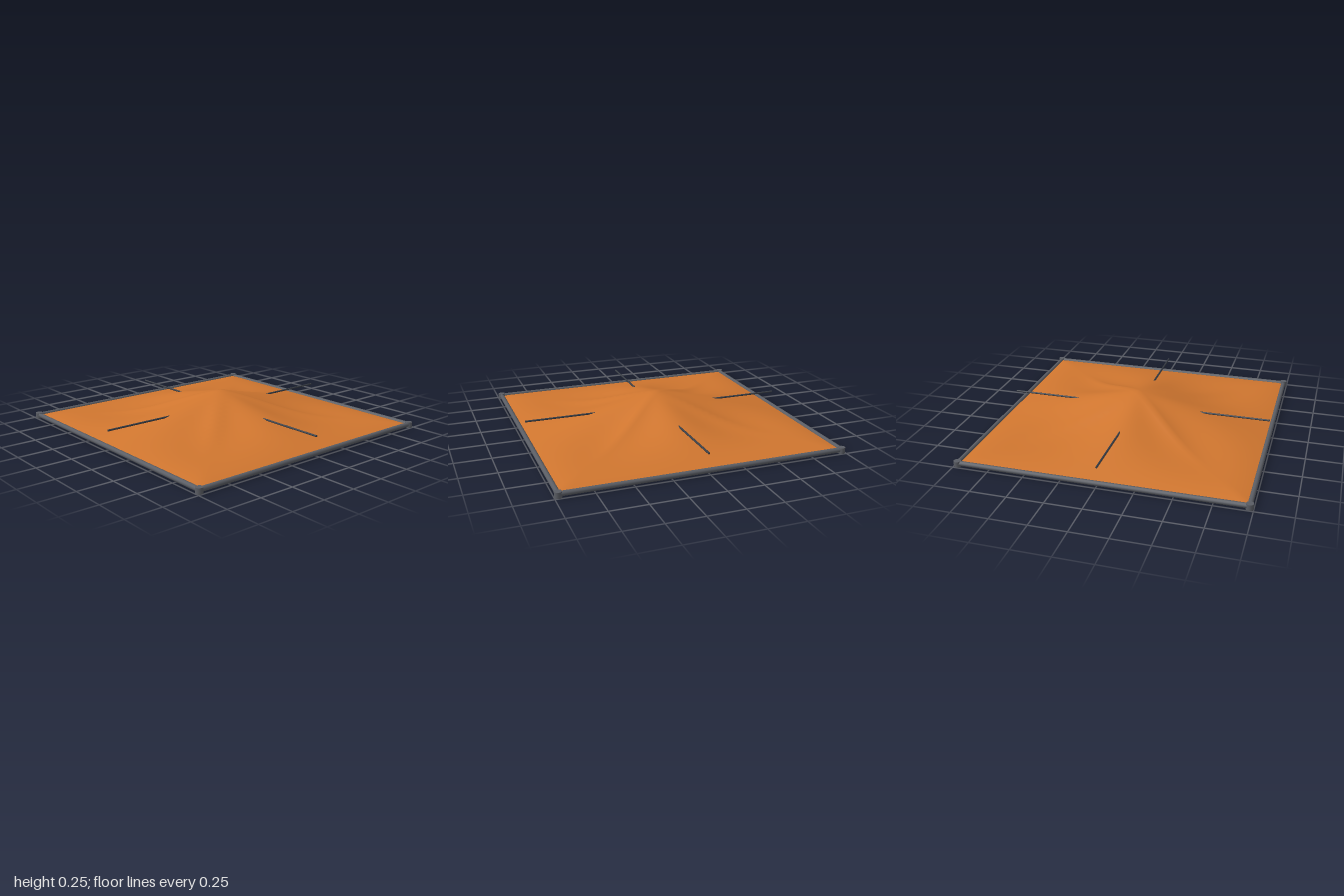
import * as THREE from 'three';

const RIM = 0.975;   // half distance between frame bars
const BASE = 0.022;  // frame centre height

// Height of the stretched canopy: straight pyramid slopes that sag along the diagonals
function canopyHeight(x, z) {
  const r = Math.max(Math.abs(x), Math.abs(z)) / RIM;
  if (r === 0) return 0.25;
  const sin2 = (2 * x * z) / (x * x + z * z);
  const sag = 0.063 * Math.sin(Math.PI * r) ** 2 * sin2 * sin2;
  return BASE + (0.25 - BASE) * (1 - r) - sag;
}

export function createModel() {
  const group = new THREE.Group();
  const canvas = new THREE.MeshStandardMaterial({ color: 0xd0762f, side: THREE.DoubleSide });
  canvas.name = 'orangeCanvas';
  const metal = new THREE.MeshStandardMaterial({ color: 0x5a5d64 });
  metal.name = 'greyMetal';
  const darkMetal = new THREE.MeshStandardMaterial({ color: 0x3a3f47 });
  darkMetal.name = 'darkMetal';

  const add = (name, geometry, material, x, y, z) => {
    const mesh = new THREE.Mesh(geometry, material);
    mesh.name = name;
    mesh.position.set(x, y, z);
    group.add(mesh);
    return mesh;
  };

  // Canopy sheet
  const sheet = new THREE.PlaneGeometry(2 * RIM, 2 * RIM, 48, 48).rotateX(-Math.PI / 2);
  const pos = sheet.attributes.position;
  for (let i = 0; i < pos.count; i++) {
    pos.setY(i, canopyHeight(pos.getX(i), pos.getZ(i)));
  }
  sheet.computeVertexNormals();
  add('canopy', sheet, canvas, 0, 0, 0);

  // Frame bars along the four edges
  const barX = new THREE.CylinderGeometry(0.017, 0.017, 2 * RIM, 12).rotateZ(Math.PI / 2);
  const barZ = barX.clone().rotateY(Math.PI / 2);
  for (const s of [-1, 1]) {
    add(s > 0 ? 'frontFrameBar' : 'backFrameBar', barX, metal, 0, BASE, s * RIM);
    add(s > 0 ? 'leftFrameBar' : 'rightFrameBar', barZ, metal, s * RIM, BASE, 0);
  }

  // Corner joints
  const joint = new THREE.CylinderGeometry(0.025, 0.025, 0.04, 12);
  for (const sx of [-1, 1]) {
    for (const sz of [-1, 1]) add('cornerJoint', joint, metal, sx * RIM, 0.02, sz * RIM);
  }

  // Crossed rods through the canopy
  const rodX = new THREE.CylinderGeometry(0.007, 0.007, 1.94, 8).rotateZ(Math.PI / 2);
  add('crossRodSideways', rodX, darkMetal, 0, 0.135, 0);
  add('crossRodLengthways', rodX.clone().rotateY(Math.PI / 2), darkMetal, 0, 0.135, 0);

  return group;
}
